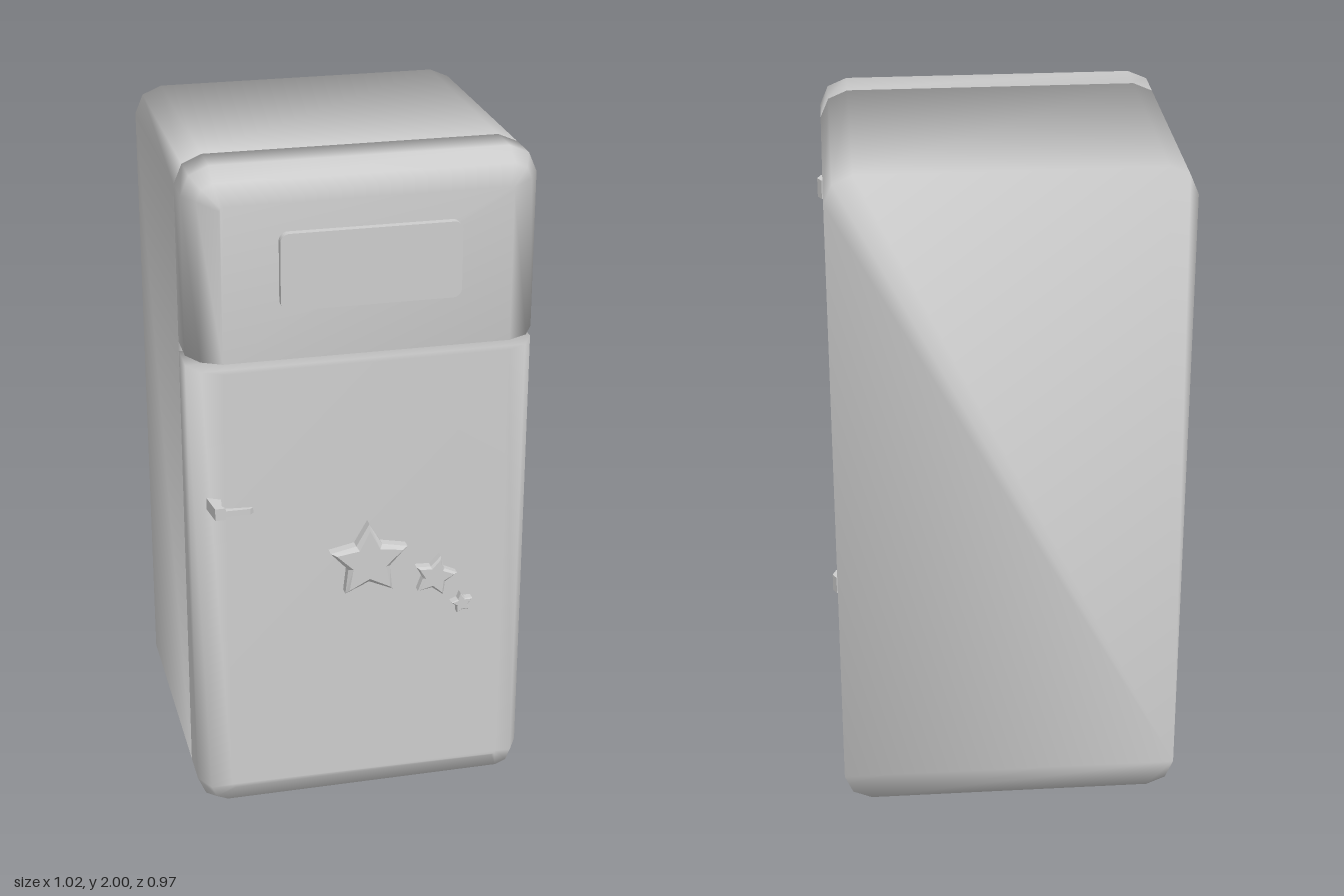
import * as THREE from 'three';

const CX = -0.01, HALF = 0.5, R = 0.08;

// Counter-clockwise outline; chosen ends get rounded corners and follow the inset
function outline(y0, y1, inset, roundBottom, roundTop) {
  const x0 = CX - HALF + inset, x1 = CX + HALF - inset;
  const b = roundBottom ? y0 + inset : y0, t = roundTop ? y1 - inset : y1;
  const r = Math.max(R - inset, 0.012);
  const corner = (x, y, sx, sy, round, flip) => {
    if (!round) return [[x, y]];
    const p = [[x, y + sy * r], [x + sx * r * 0.3, y + sy * r * 0.3], [x + sx * r, y]];
    return flip ? p.reverse() : p;
  };
  return [
    ...corner(x0, b, 1, 1, roundBottom, false),
    ...corner(x1, b, -1, 1, roundBottom, true),
    ...corner(x1, t, -1, -1, roundTop, false),
    ...corner(x0, t, 1, -1, roundTop, true),
  ];
}

// Smooth capped loft through rings ordered by rising z
function loft(rings) {
  const n = rings[0].pts.length, pos = [], idx = [];
  for (const { pts, z } of rings) for (const [x, y] of pts) pos.push(x, y, z);
  for (let k = 0; k < rings.length - 1; k++) {
    for (let i = 0; i < n; i++) {
      const j = (i + 1) % n, a = k * n + i, b = k * n + j;
      idx.push(a, b, b + n, a, b + n, a + n);
    }
  }
  const last = (rings.length - 1) * n;
  for (let i = 1; i < n - 1; i++) {
    idx.push(0, i + 1, i);
    idx.push(last, last + i, last + i + 1);
  }
  const g = new THREE.BufferGeometry();
  g.setAttribute('position', new THREE.Float32BufferAttribute(pos, 3));
  g.setIndex(idx);
  g.computeVertexNormals();
  return g;
}

function doorGeometry(y0, y1, roundBottom, roundTop) {
  const profile = [[0.23, 0], [0.34, 0], [0.4, 0.033], [0.43, 0.09]];
  return loft(profile.map(([z, d]) => ({ z, pts: outline(y0, y1, d, roundBottom, roundTop) })));
}

function starGeometry(radius, tilt, depth, bevel) {
  const pts = [];
  for (let i = 0; i < 10; i++) {
    const a = Math.PI / 2 + tilt + i * Math.PI / 5;
    const r = (radius - bevel * 1.6) * (i % 2 ? 0.5 : 1);
    pts.push(new THREE.Vector2(Math.cos(a) * r, Math.sin(a) * r));
  }
  return new THREE.ExtrudeGeometry(new THREE.Shape(pts), {
    depth: depth - bevel, bevelEnabled: true, bevelSize: bevel, bevelThickness: bevel, bevelSegments: 1,
  });
}

function roundedPlate(w, h, r, depth) {
  const s = new THREE.Shape(), x = w / 2, y = h / 2;
  s.absarc(x - r, y - r, r, 0, Math.PI / 2);
  s.absarc(-x + r, y - r, r, Math.PI / 2, Math.PI);
  s.absarc(-x + r, -y + r, r, Math.PI, Math.PI * 1.5);
  s.absarc(x - r, -y + r, r, Math.PI * 1.5, Math.PI * 2);
  return new THREE.ExtrudeGeometry(s, { depth, bevelEnabled: false, curveSegments: 4 });
}

// Polygon given in x and z, extruded upward around y = 0
function slab(points, height) {
  const s = new THREE.Shape(points.map(([x, z]) => new THREE.Vector2(x, z)));
  const g = new THREE.ExtrudeGeometry(s, { depth: height, bevelEnabled: false });
  return g.rotateX(Math.PI / 2).translate(0, height / 2, 0);
}

export function createModel() {
  const group = new THREE.Group();
  const grey = new THREE.MeshStandardMaterial({ color: 0xcccccc });
  grey.name = 'light grey';
  const add = (name, geometry, x = 0, y = 0, z = 0) => {
    const m = new THREE.Mesh(geometry, grey);
    m.name = name;
    m.position.set(x, y, z);
    group.add(m);
  };

  // Cabinet and the two doors
  const body = outline(0, 2, 0, true, true);
  add('cabinet', loft([{ pts: body, z: -0.49 }, { pts: body, z: 0.222 }]));
  add('freezerDoor', doorGeometry(1.46, 2, false, true));
  add('fridgeDoor', doorGeometry(0, 1.43, true, false));

  // Raised panel on the freezer door
  add('freezerPanel', roundedPlate(0.51, 0.22, 0.025, 0.03), -0.005, 1.72, 0.422);

  // Star ornaments
  add('largeStar', starGeometry(0.122, 0, 0.04, 0.012), -0.01, 0.82, 0.43);
  add('mediumStar', starGeometry(0.068, -0.25, 0.03, 0.007), 0.19, 0.745, 0.43);
  add('smallStar', starGeometry(0.034, 0.15, 0.025, 0.003), 0.275, 0.645, 0.43);

  // Handle: a post leaving the door, then a tapering lever
  const post = [[-0.472, 0.395], [-0.43, 0.4], [-0.438, 0.465], [-0.43, 0.482], [-0.46, 0.482]];
  const lever = [[-0.44, 0.464], [-0.35, 0.472], [-0.36, 0.482], [-0.44, 0.482]];
  add('handlePost', slab(post, 0.036), 0, 1.03, 0);
  add('handleLever', slab(lever, 0.018), 0, 1.03, 0);

  // Hinges on the model's left side
  const hinge = [[0.48, 0.205], [0.495, 0.208], [0.507, 0.23], [0.495, 0.257], [0.48, 0.26]];
  for (const y of [0.333, 1.7]) add('hinge', slab(hinge, 0.058), 0, y, 0);

  return group;
}
